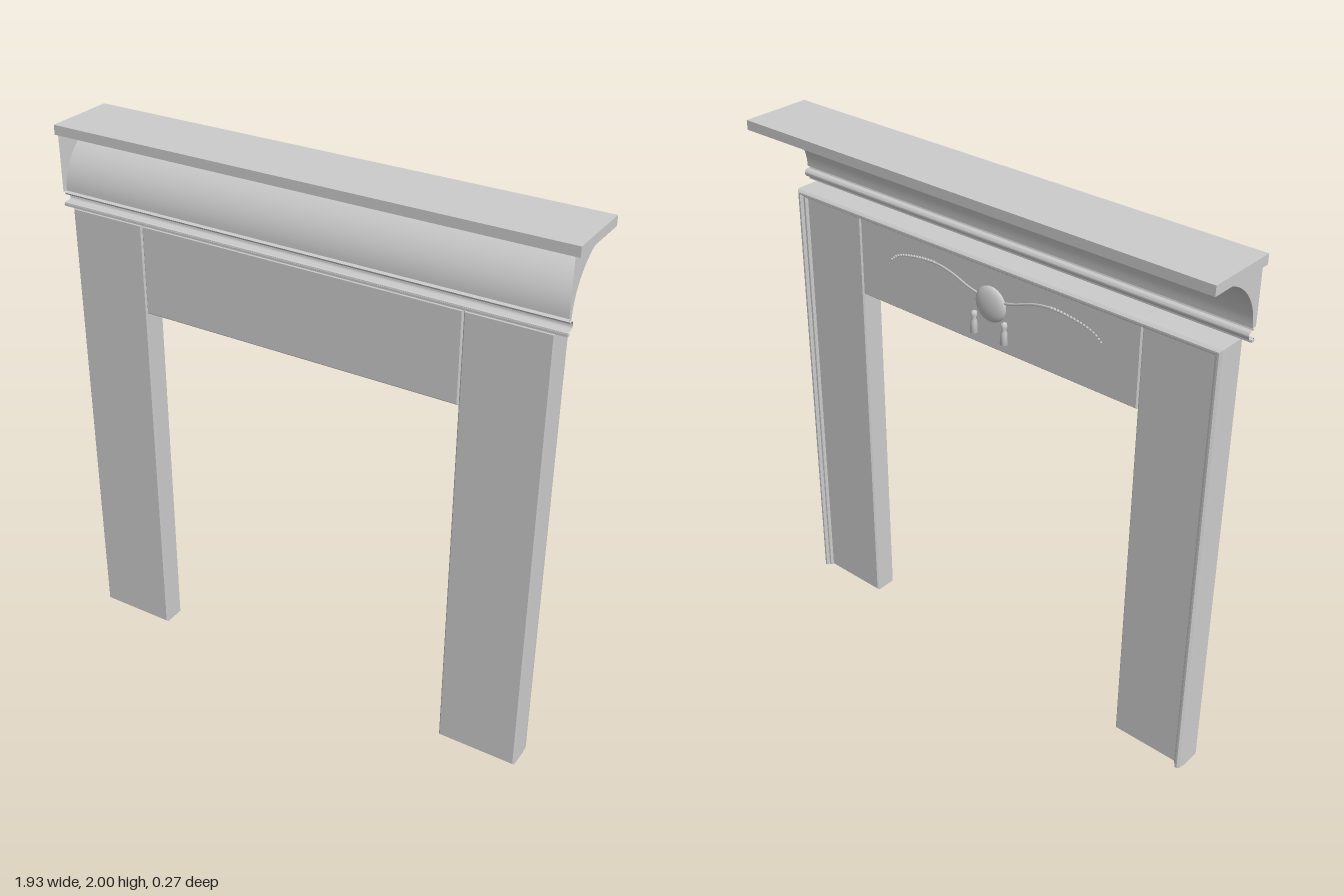
import * as THREE from 'three';
import { toCreasedNormals } from 'three/addons/utils/BufferGeometryUtils.js';

const grey = new THREE.MeshStandardMaterial({ color: 0xcccccc });
const greyThin = new THREE.MeshStandardMaterial({ color: 0xcccccc, side: THREE.DoubleSide });
const BACK = 0.135, FACE = 0.045;

export function createModel() {
  const group = new THREE.Group();
  const add = (name, geometry, material = grey, parent = group) => {
    const mesh = new THREE.Mesh(geometry, material);
    mesh.name = name;
    parent.add(mesh);
    return mesh;
  };

  // Surface through equal-length rows of [x, y, z] points
  const loft = (rows) => {
    const n = rows[0].length, index = [];
    for (let r = 0; r < rows.length - 1; r++)
      for (let c = 0; c < n - 1; c++) {
        const a = r * n + c;
        index.push(a, a + 1, a + n, a + 1, a + n + 1, a + n);
      }
    const g = new THREE.BufferGeometry();
    g.setAttribute('position', new THREE.Float32BufferAttribute(rows.flat(2), 3));
    g.setIndex(index);
    return toCreasedNormals(g, 0.6);
  };

  // Board with softened edges, spanning the given limits
  const board = (x0, x1, y0, y1, z0, z1, b = 0.005) => {
    const s = new THREE.Shape();
    s.moveTo(x0 + b, y0 + b);
    s.lineTo(x1 - b, y0 + b);
    s.lineTo(x1 - b, y1 - b);
    s.lineTo(x0 + b, y1 - b);
    const g = new THREE.ExtrudeGeometry(s, {
      depth: z1 - z0 - 2 * b, bevelSize: b, bevelThickness: b, bevelSegments: 1,
    });
    return g.translate(0, 0, z0 + b);
  };

  // Legs and frieze
  add('leftLeg', board(0.613, 0.912, 0, 1.71, FACE, BACK));
  add('rightLeg', board(-0.912, -0.613, 0, 1.71, FACE, BACK));
  add('frieze', board(-0.612, 0.612, 1.377, 1.71, FACE, BACK));

  // Moulding that runs up the outer edges and across the top, mitred: [inset, z]
  const section = [[0, 0.05], [0, 0.034], [0.003, 0.026], [0.009, 0.021], [0.016, 0.021],
    [0.02, 0.026], [0.021, 0.033], [0.028, 0.034], [0.032, 0.039], [0.033, 0.05]];
  const path = [[-1, 0], [-1, 1], [1, 1], [1, 0]];
  add('frameMoulding', loft(path.map(([sx, top]) =>
    section.map(([d, z]) => [sx * (0.912 - d), top ? 1.71 - d : 0.004, z]))), greyThin);

  // Mantel shelf
  add('shelf', new THREE.BoxGeometry(1.93, 0.035, 0.27).translate(0, 1.9825, 0));

  // Hollow cornice: a cove above a small bead, in [z, y]
  const cove = [];
  for (let i = 0; i <= 24; i++) {
    const a = (i / 24) * Math.PI / 2;
    cove.push([-0.105 + 0.222 * Math.cos(a), 1.76 + 0.205 * Math.sin(a)]);
  }
  const bead = [[BACK, 1.71], [0.133, 1.722]];
  for (let i = 0; i <= 12; i++) {
    const a = -2.2 + (i / 12) * 4.4;
    bead.push([0.116 - 0.015 * Math.cos(a), 1.737 + 0.015 * Math.sin(a)]);
  }
  const run = (pts) => loft([-0.95, 0.95].map((x) => pts.map(([z, y]) => [x, y, z])));
  add('cove', run(cove), greyThin);
  add('beadMoulding', run([...bead, [0.127, 1.755], [0.117, 1.76]]), greyThin);
  const lip = new THREE.BoxGeometry(1.9, 0.008, 0.014);
  add('corniceLip', lip.translate(0, 1.714, 0.128));
  const endShape = new THREE.Shape(
    [[BACK, 1.76], ...cove, [BACK, 1.965]].map(([z, y]) => new THREE.Vector2(z, y)));
  for (const [name, x] of [['leftCorniceEnd', 0.95], ['rightCorniceEnd', -0.95]]) {
    const end = add(name, new THREE.ShapeGeometry(endShape), greyThin);
    end.rotation.y = -Math.PI / 2;
    end.position.x = x;
  }

  // Ornament on the frieze
  const ornament = new THREE.Group();
  ornament.name = 'ornament';
  group.add(ornament);
  const medallion = add('medallion', new THREE.SphereGeometry(1, 32, 20), grey, ornament);
  medallion.scale.set(0.066, 0.066, 0.022);
  medallion.position.set(0, 1.545, FACE);

  for (const s of [1, -1]) {
    const side = s > 0 ? 'left' : 'right';
    // Tassel hanging below the medallion
    const profile = [[0, -0.075], [0.014, -0.075], [0.011, -0.03], [0.007, -0.02],
      [0.012, -0.01], [0.01, 0.004], [0, 0.008]].map(([r, y]) => new THREE.Vector2(r, y));
    const tassel = add(side + 'Tassel', new THREE.LatheGeometry(profile, 14), grey, ornament);
    tassel.position.set(s * 0.067, 1.496, 0.034);

    // Garland: a stem that breaks into shrinking beads
    const curve = new THREE.CatmullRomCurve3([[0.05, 1.565], [0.1, 1.577], [0.18, 1.605],
      [0.26, 1.617], [0.36, 1.608], [0.43, 1.588], [0.46, 1.565]]
      .map(([x, y]) => new THREE.Vector3(s * x, y, FACE)));
    const stem = new THREE.CatmullRomCurve3(curve.getSpacedPoints(40).slice(0, 22));
    add(side + 'GarlandStem', new THREE.TubeGeometry(stem, 30, 0.005, 6), grey, ornament);
    for (let i = 0; i <= 16; i++) {
      const pod = add(side + 'GarlandBead',
        new THREE.SphereGeometry(0.0065 - i * 0.00012, 8, 6), grey, ornament);
      pod.position.copy(curve.getPointAt(0.5 + i / 32));
    }
  }
  return group;
}
